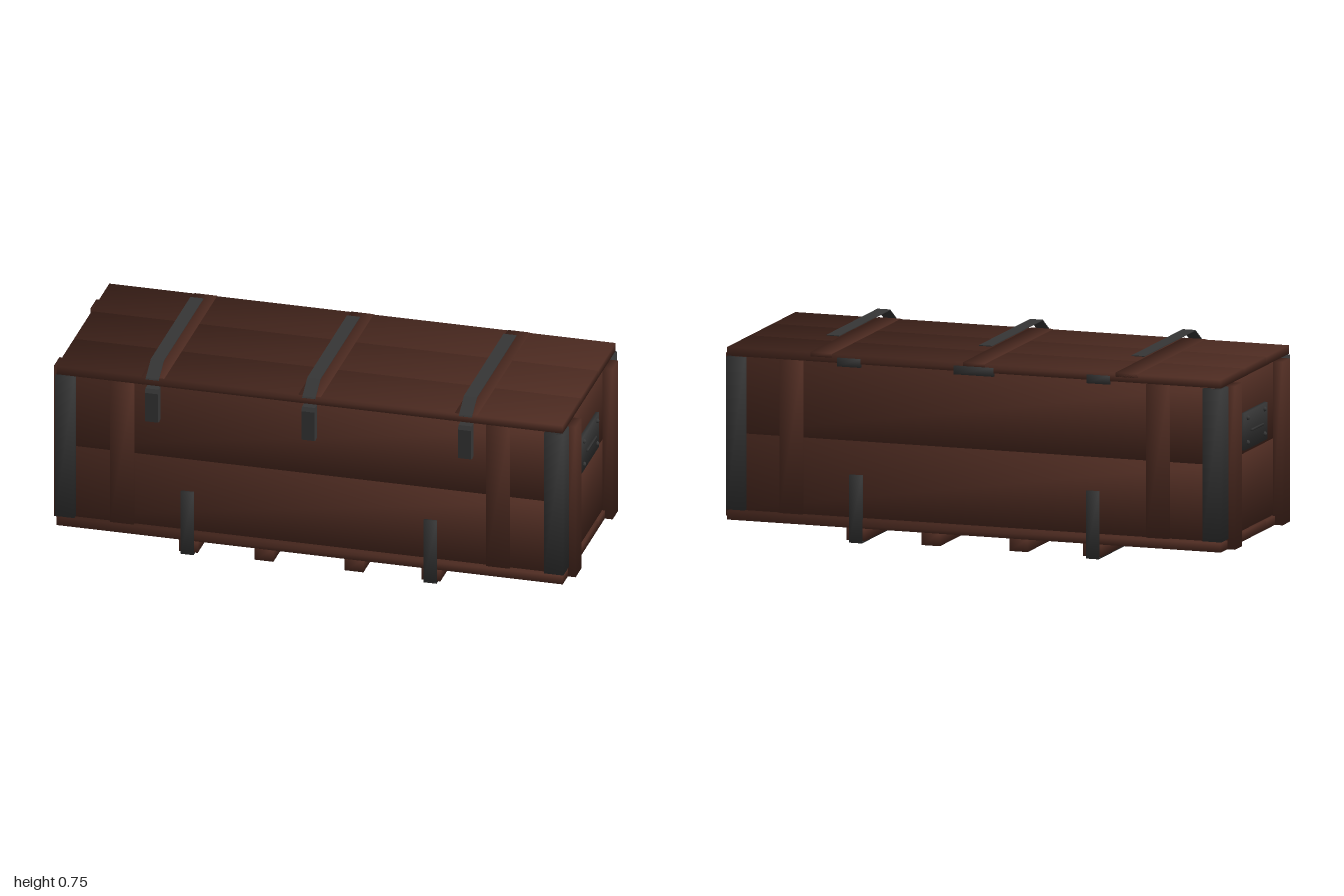
import * as THREE from 'three';

const wood = new THREE.MeshStandardMaterial({ color: 0x4f2c22 });
wood.name = 'dark brown wood';
const metal = new THREE.MeshStandardMaterial({ color: 0x363636 });
metal.name = 'dark grey iron';

// Box given by its limits, with one shared diagonal normal per corner for soft shading
function softBox(parent, name, material, [x0, x1], [y0, y1], [z0, z1]) {
  const geo = new THREE.BoxGeometry(x1 - x0, y1 - y0, z1 - z0);
  const { position, normal } = geo.attributes;
  const n = new THREE.Vector3();
  for (let i = 0; i < position.count; i++) {
    n.set(Math.sign(position.getX(i)), Math.sign(position.getY(i)), Math.sign(position.getZ(i))).normalize();
    normal.setXYZ(i, n.x, n.y, n.z);
  }
  const mesh = new THREE.Mesh(geo, material);
  mesh.position.set((x0 + x1) / 2, (y0 + y1) / 2, (z0 + z1) / 2);
  mesh.name = name;
  parent.add(mesh);
}

// Profile in (z, y) extruded along x and centred on the given x
function profileX(parent, name, material, points, x, width) {
  const shape = new THREE.Shape(points.map(([z, y]) => new THREE.Vector2(z, y)));
  const geo = new THREE.ExtrudeGeometry(shape, { depth: width, bevelEnabled: false });
  geo.rotateY(-Math.PI / 2).translate(x + width / 2, 0, 0);
  const mesh = new THREE.Mesh(geo, material);
  mesh.name = name;
  parent.add(mesh);
}

// Limits mirrored to the chosen side
const side = (s, a, b) => (s > 0 ? [a, b] : [-b, -a]);

export function createModel() {
  const crate = new THREE.Group();
  crate.name = 'crate';
  const body = new THREE.Group();
  body.name = 'body';
  body.position.z = -0.008;
  crate.add(body);

  // Lid and floor, three planks each
  for (const [z0, z1] of [[-0.37, -0.123], [-0.123, 0.123], [0.123, 0.37]]) {
    softBox(body, 'lidPlank', wood, [-0.97, 0.97], [0.672, 0.704], [z0, z1]);
    softBox(body, 'floorPlank', wood, [-0.97, 0.97], [0.055, 0.088], [z0, z1]);
  }

  // Walls, two boards high
  for (const [y0, y1] of [[0.092, 0.38], [0.38, 0.669]]) {
    for (const s of [-1, 1]) {
      softBox(body, 'longWallBoard', wood, [-0.955, 0.955], [y0, y1], side(s, 0.322, 0.355));
      softBox(body, 'endWallBoard', wood, side(s, 0.93, 0.962), [y0, y1], [-0.35, 0.35]);
    }
  }

  for (const sx of [-1, 1]) {
    for (const sz of [-1, 1]) {
      // Upright battens
      softBox(body, 'longWallBatten', wood, side(sx, 0.675, 0.765), [0.092, 0.669], side(sz, 0.335, 0.367));
      softBox(body, 'endBatten', wood, side(sx, 0.96, 1.0), [0.055, 0.669], side(sz, 0.219, 0.298));
      // Corner irons
      softBox(body, 'cornerIronLong', metal, side(sx, 0.9, 0.972), [0.094, 0.668], side(sz, 0.34, 0.375));
      softBox(body, 'cornerIronEnd', metal, side(sx, 0.94, 0.974), [0.094, 0.668], side(sz, 0.298, 0.374));
    }

    // Handle plate with rivets and grip
    const handle = new THREE.Group();
    handle.name = 'handlePlate';
    body.add(handle);
    softBox(handle, 'plate', metal, side(sx, 0.955, 0.975), [0.395, 0.535], [-0.123, 0.123]);
    softBox(handle, 'grip', metal, side(sx, 0.974, 0.984), [0.459, 0.467], [-0.062, 0.062]);
    for (const z of [-0.092, 0.092]) {
      for (const y of [0.421, 0.514]) {
        const rivet = new THREE.Mesh(new THREE.SphereGeometry(0.009, 12, 8), metal);
        rivet.name = 'rivet';
        rivet.position.set(sx * 0.975, y, z);
        handle.add(rivet);
      }
    }
  }

  // Skids under the floor
  for (const x of [-0.465, -0.175, 0.17, 0.465]) {
    softBox(body, 'skid', wood, [x - 0.036, x + 0.036], [0.008, 0.056], [-0.369, 0.369]);
  }

  // Irons wrapped under the outer skids and up both long walls
  for (const x of [-0.468, 0.463]) {
    const w = [x - 0.025, x + 0.025];
    softBox(body, 'skidIronBottom', metal, w, [0, 0.009], [-0.376, 0.376]);
    for (const s of [-1, 1]) {
      softBox(body, 'skidIronUpright', metal, w, [0, 0.255], side(s, 0.366, 0.376));
    }
  }

  for (const x of [-0.6, 0, 0.6]) {
    // Lid batten and the thin strap raised over it
    softBox(body, 'lidBatten', wood, [x - 0.043, x + 0.043], [0.69, 0.706], [-0.37, 0.369]);
    profileX(crate, 'lidStrap', metal, [
      [0.375, 0.7], [0.371, 0.705], [0.301, 0.75], [-0.253, 0.75],
      [-0.253, 0.747], [0.3, 0.747], [0.366, 0.704], [0.371, 0.698],
    ], x, 0.05);
    // Latch on the front
    profileX(crate, 'latch', metal, [
      [0.34, 0.665], [0.377, 0.665], [0.386, 0.65], [0.386, 0.534], [0.366, 0.528], [0.34, 0.535],
    ], x, 0.05);
  }

  // Hinges on the back
  for (const [x, half] of [[-0.49, 0.045], [0, 0.078], [0.49, 0.045]]) {
    softBox(crate, 'hinge', metal, [x - half, x + half], [0.66, 0.692], [-0.385, -0.372]);
  }
  return crate;
}
